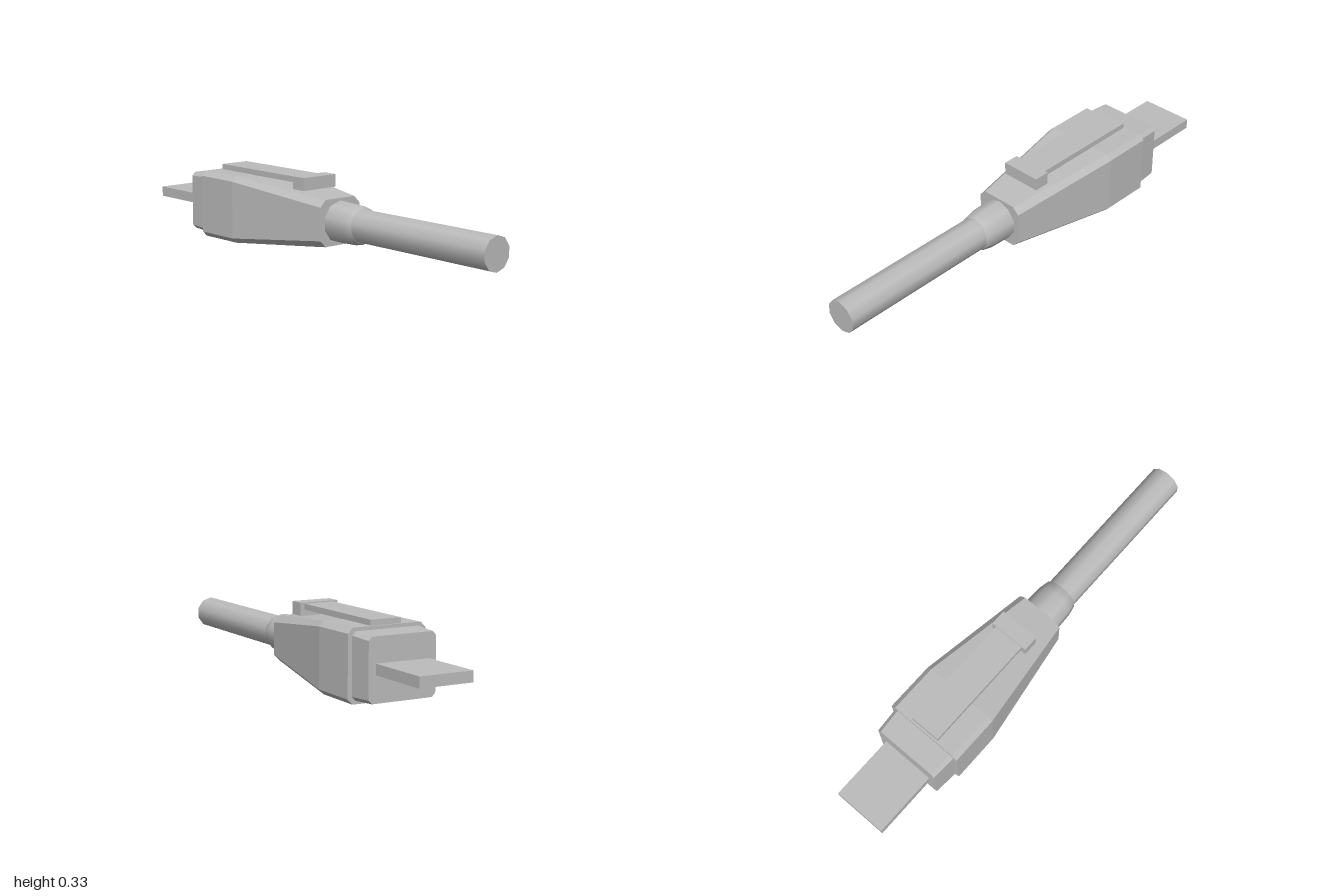
import * as THREE from 'three';

const MID_Y = 0.15;

// Chamfered rectangle, counter-clockwise seen from +z
function section({ z, w, h, c }) {
  return [
    [w, h - c], [w - c, h], [-w + c, h], [-w, h - c],
    [-w, -h + c], [-w + c, -h], [w - c, -h], [w, -h + c],
  ].map(([x, y]) => [x, y + MID_Y, z]);
}

// Closed faceted solid through sections ordered from +z to -z
function loft(specs) {
  const rings = specs.map(section);
  const n = rings[0].length;
  const pos = [];
  const tri = (...corners) => corners.forEach((p) => pos.push(...p));
  for (let k = 0; k < rings.length - 1; k++) {
    const a = rings[k], b = rings[k + 1];
    for (let i = 0; i < n; i++) {
      const j = (i + 1) % n;
      tri(a[i], b[i], b[j]);
      tri(a[i], b[j], a[j]);
    }
  }
  const first = rings[0], last = rings[rings.length - 1];
  for (let i = 1; i < n - 1; i++) {
    tri(first[0], first[i], first[i + 1]);
    tri(last[0], last[i + 1], last[i]);
  }
  const geo = new THREE.BufferGeometry();
  geo.setAttribute('position', new THREE.Float32BufferAttribute(pos, 3));
  geo.computeVertexNormals();
  return geo;
}

// Box given by its limits along y and z, centred on x
function box(halfX, y0, y1, z0, z1) {
  return new THREE.BoxGeometry(halfX * 2, y1 - y0, z1 - z0)
    .translate(0, (y0 + y1) / 2, (z0 + z1) / 2);
}

export function createModel() {
  const group = new THREE.Group();
  const grey = new THREE.MeshStandardMaterial({ color: 0xbcbcbc });
  grey.name = 'plain grey';

  const add = (name, geometry) => {
    const mesh = new THREE.Mesh(geometry, grey);
    mesh.name = name;
    group.add(mesh);
  };

  // Tapered housing
  add('housing', loft([
    { z: 0.13, w: 0.11, h: 0.1, c: 0.029 },
    { z: -0.38, w: 0.178, h: 0.149, c: 0.022 },
    { z: -0.6, w: 0.178, h: 0.15, c: 0.022 },
  ]));

  // Slightly narrower nose behind the contact tongue
  add('nose', loft([
    { z: -0.59, w: 0.16, h: 0.136, c: 0.016 },
    { z: -0.71, w: 0.153, h: 0.13, c: 0.016 },
  ]));

  add('contactTongue', box(0.12, 0.13, 0.175, -1, -0.7));

  // Release latch: long bar with a thumb block
  add('latchBar', box(0.07, 0.298, 0.323, -0.59, -0.03));
  add('latchThumbBlock', box(0.09, 0.273, 0.328, -0.07, 0));

  // Ten-sided strain relief and cable, both along z
  const reliefProfile = [[0.09, 0.12], [0.09, 0.15], [0.087, 0.23], [0.078, 0.275], [0.068, 0.277]]
    .map(([r, z]) => new THREE.Vector2(r, z));
  add('strainRelief', new THREE.LatheGeometry(reliefProfile, 10)
    .rotateX(Math.PI / 2).translate(0, MID_Y, 0));
  add('cable', new THREE.CylinderGeometry(0.072, 0.072, 0.88, 10)
    .rotateX(Math.PI / 2).translate(0, MID_Y, 0.56));

  return group;
}
